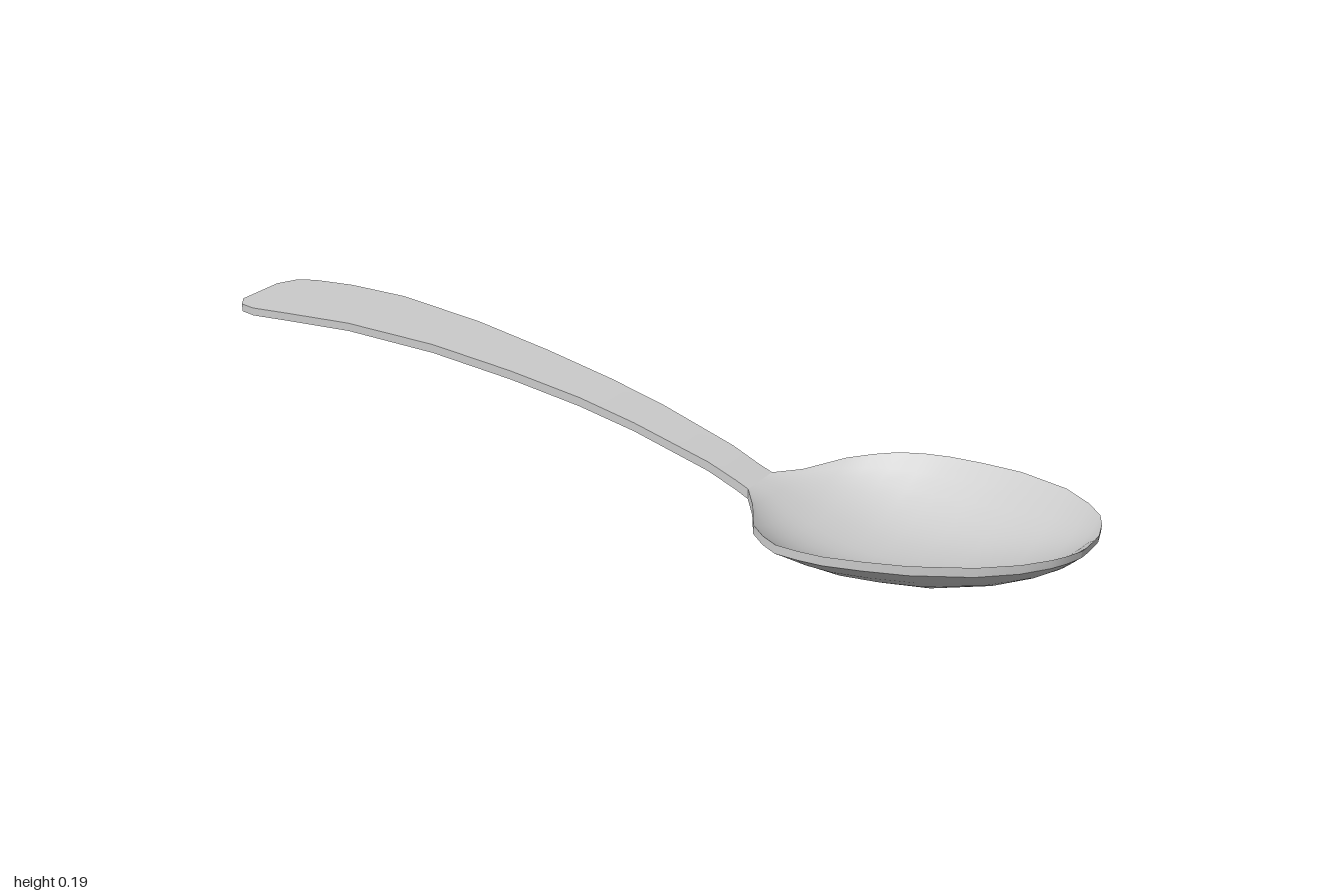
import * as THREE from 'three';
import { mergeGeometries } from 'three/addons/utils/BufferGeometryUtils.js';

// Smooth patch through rows of points; faces point along (column x row) direction.
function patch(rows) {
  const n = rows[0].length, index = [];
  for (let i = 0; i < rows.length - 1; i++) {
    for (let j = 0; j < n - 1; j++) {
      const a = i * n + j, b = a + 1, c = a + n, d = c + 1;
      index.push(a, b, c, b, d, c);
    }
  }
  const g = new THREE.BufferGeometry();
  g.setAttribute('position', new THREE.Float32BufferAttribute(rows.flat(2), 3));
  g.setIndex(index);
  g.computeVertexNormals();
  return g;
}

// Sheet with thickness from stations [x, edgeTopY, thickness, halfWidth, centreZ, dishDepth].
function sheet(stations, divisions, capStart, capEnd) {
  const surface = (drop) => stations.map(([x, y, t, w, zc, depth]) =>
    Array.from({ length: divisions + 1 }, (_, j) => {
      const v = (j / divisions) * 2 - 1;
      return [x, y - drop * t - depth * (1 - Math.abs(v) ** 2.4), zc + w * v];
    }));
  const top = surface(0), bottom = surface(1);
  const parts = [
    patch(top),
    patch(bottom.map((r) => [...r].reverse())),
    patch(top.map((r, i) => [r[divisions], bottom[i][divisions]])),
    patch(top.map((r, i) => [bottom[i][0], r[0]])),
  ];
  if (capStart) parts.push(patch([bottom[0], top[0]]));
  if (capEnd) parts.push(patch([top[top.length - 1], bottom[bottom.length - 1]]));
  return mergeGeometries(parts);
}

export function createModel() {
  const group = new THREE.Group();
  group.name = 'spoon';
  const material = new THREE.MeshStandardMaterial({ color: 0xcccccc });
  const add = (name, geometry) => {
    const mesh = new THREE.Mesh(geometry, material);
    mesh.name = name;
    group.add(mesh);
  };

  const neck = [0.36, 0.06, 0.021, 0.038, -0.004, 0];

  // Arched handle, widening towards its rounded end
  add('handle', sheet([
    [-1, 0.03, 0.018, 0.05, -0.011, 0],
    [-0.97, 0.037, 0.018, 0.08, -0.011, 0],
    [-0.92, 0.047, 0.018, 0.092, -0.011, 0],
    [-0.8, 0.07, 0.018, 0.092, -0.012, 0],
    [-0.63, 0.098, 0.018, 0.083, -0.011, 0],
    [-0.4, 0.117, 0.019, 0.068, -0.01, 0],
    [-0.2, 0.12, 0.019, 0.057, -0.009, 0],
    [-0.03, 0.117, 0.019, 0.049, -0.007, 0],
    [0.1, 0.107, 0.018, 0.045, -0.006, 0],
    [0.27, 0.083, 0.019, 0.039, -0.005, 0],
    [0.33, 0.067, 0.02, 0.037, -0.005, 0],
    neck,
  ], 4, true, false));

  // Dished bowl with a rim rising to the tip
  add('bowl', sheet([
    neck,
    [0.4, 0.063, 0.021, 0.08, -0.003, 0.01],
    [0.45, 0.075, 0.018, 0.148, -0.002, 0.039],
    [0.49, 0.084, 0.018, 0.178, -0.002, 0.054],
    [0.53, 0.093, 0.018, 0.199, -0.002, 0.068],
    [0.58, 0.105, 0.018, 0.207, -0.002, 0.084],
    [0.63, 0.116, 0.018, 0.209, -0.002, 0.092],
    [0.7, 0.132, 0.018, 0.202, -0.002, 0.095],
    [0.78, 0.15, 0.018, 0.189, -0.002, 0.092],
    [0.88, 0.172, 0.018, 0.155, -0.001, 0.07],
    [0.94, 0.184, 0.017, 0.118, 0, 0.047],
    [0.975, 0.191, 0.016, 0.085, 0, 0.028],
    [0.99, 0.192, 0.015, 0.06, 0, 0.014],
    [1, 0.19, 0.013, 0.03, 0, 0.002],
  ], 14, false, true));

  return group;
}
